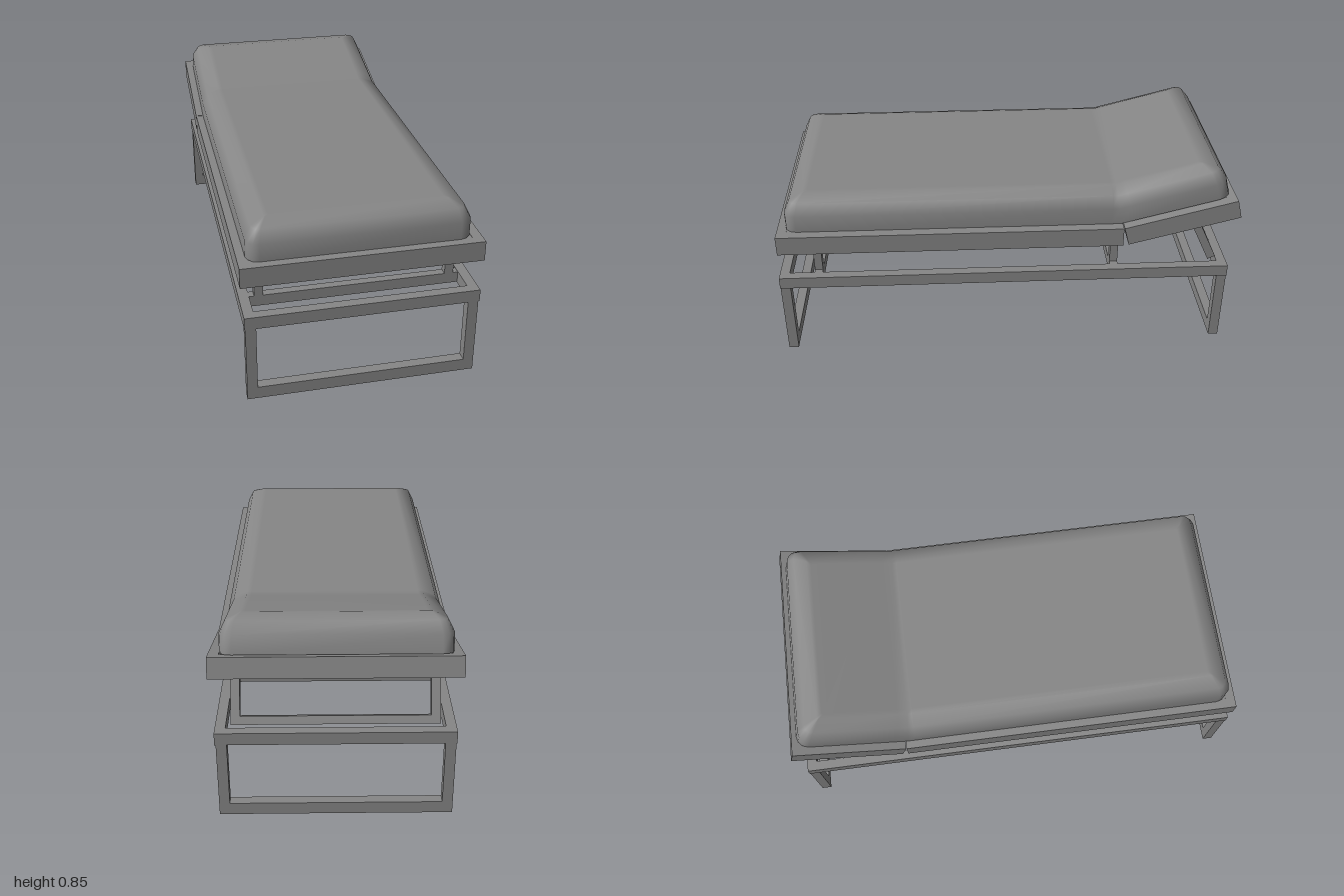
import * as THREE from 'three';

const material = new THREE.MeshStandardMaterial({ color: 0x868686 });
const TILT = 0.253; // backrest angle

// Box given by its min and max on each axis
function box(parent, name, [x0, x1], [y0, y1], [z0, z1]) {
  const mesh = new THREE.Mesh(new THREE.BoxGeometry(x1 - x0, y1 - y0, z1 - z0), material);
  mesh.position.set((x0 + x1) / 2, (y0 + y1) / 2, (z0 + z1) / 2);
  mesh.name = name;
  parent.add(mesh);
  return mesh;
}

function group(parent, name) {
  const g = new THREE.Group();
  g.name = name;
  parent.add(g);
  return g;
}

// Horizontal rectangular frame: two long rails with end rails between them
function flatFrame(parent, name, hx, y, [z0, z1], t) {
  const g = group(parent, name);
  for (const s of [-1, 1]) {
    const inner = s * (hx - t), outer = s * hx;
    box(g, 'sideRail', [Math.min(inner, outer), Math.max(inner, outer)], y, [z0, z1]);
  }
  box(g, 'endRail', [-hx + t, hx - t], y, [z0, z0 + t]);
  box(g, 'endRail', [-hx + t, hx - t], y, [z1 - t, z1]);
  return g;
}

// Cushion: stacked rounded outlines, bent upward behind the fold
function cushionGeometry() {
  const base = 0.607, fold = -0.49, front = 0.955, back = -0.972, seg = 3;
  const rings = [[0, 0], [0, 0.075], [0.025, 0.127], [0.08, 0.15], [0.1, 0.15]]; // inset, height
  const positions = [], index = [];
  let count = 0;
  for (const [inset, h] of rings) {
    const hx = 0.45 - inset, zf = front - inset, zb = back + inset;
    const r = Math.max(0.05 - inset * 0.6, 0.006);
    const right = [];
    for (let i = 0; i <= seg; i++) {
      const a = (1 - i / seg) * Math.PI / 2;
      right.push([hx - r + r * Math.cos(a), zf - r + r * Math.sin(a)]);
    }
    // Extra rows beside the fold keep its crease tight
    for (const d of [0.04, 0, -0.06]) right.push([hx, fold + d]);
    for (let i = 0; i <= seg; i++) {
      const a = -(i / seg) * Math.PI / 2;
      right.push([hx - r + r * Math.cos(a), zb + r + r * Math.sin(a)]);
    }
    const outline = [...right, ...right.map(([x, z]) => [-x, z]).reverse()];
    count = outline.length;
    for (const [x, z] of outline) {
      const d = z - fold;
      const angle = d > 0 ? 0 : d === 0 ? TILT / 2 : TILT;
      const c = Math.cos(angle), s = Math.sin(angle);
      positions.push(x, base + h * c - d * s, fold + d * c + h * s);
    }
  }
  const quad = (a, b, c, d) => index.push(a, b, c, a, c, d);
  for (let k = 0; k < rings.length - 1; k++) {
    for (let j = 0; j < count; j++) {
      const n = (j + 1) % count, lo = k * count, hi = lo + count;
      quad(lo + j, lo + n, hi + n, hi + j);
    }
  }
  // Top: strips joining the right side to the left
  const top = (rings.length - 1) * count;
  for (let j = 0; j < count / 2 - 1; j++) {
    quad(top + j, top + j + 1, top + count - 2 - j, top + count - 1 - j);
  }
  const geometry = new THREE.BufferGeometry();
  geometry.setAttribute('position', new THREE.Float32BufferAttribute(positions, 3));
  geometry.setIndex(index);
  geometry.computeVertexNormals();
  return geometry;
}

export function createModel() {
  const model = new THREE.Group();
  model.name = 'sunLounger';

  // Base frame with cross bars carrying the posts
  const base = flatFrame(model, 'baseFrame', 0.478, [0.336, 0.389], [-0.975, 1], 0.042);
  for (const z of [[0.815, 0.85], [-0.49, -0.455]]) {
    box(base, 'crossBar', [-0.436, 0.436], [0.34, 0.387], z);
    for (const x of [[-0.415, -0.378], [0.378, 0.415]]) box(model, 'post', x, [0.387, 0.592], z);
  }

  // Open leg frames at both ends
  for (const z of [[0.956, 0.999], [-0.974, -0.931]]) {
    const legs = group(model, 'legFrame');
    for (const x of [[-0.475, -0.432], [0.43, 0.473]]) box(legs, 'leg', x, [0, 0.336], z);
    box(legs, 'footBar', [-0.432, 0.43], [0, 0.053], z);
  }

  // Bed frame
  const bed = flatFrame(model, 'bedFrame', 0.488, [0.52, 0.606], [-0.498, 0.99], 0.042);
  box(bed, 'bedDeck', [-0.446, 0.446], [0.59, 0.604], [-0.456, 0.948]);

  // Backrest frame, hinged at the end of the bed
  const backrest = flatFrame(model, 'backrestFrame', 0.488, [-0.085, 0], [-0.494, 0], 0.042);
  box(backrest, 'backrestDeck', [-0.446, 0.446], [-0.017, -0.002], [-0.452, -0.042]);
  backrest.position.set(0, 0.607, -0.5);
  backrest.rotation.x = TILT;

  // Leaning support under the backrest
  const support = group(model, 'backrestSupport');
  for (const x of [[-0.415, -0.378], [0.378, 0.415]]) box(support, 'strut', x, [0, 0.305], [-0.018, 0.018]);
  box(support, 'strutBar', [-0.378, 0.378], [0, 0.034], [-0.018, 0.018]);
  support.position.set(0, 0.393, -0.914);
  support.rotation.x = Math.atan2(0.1, 0.21);

  // Cushion
  const cushion = new THREE.Mesh(cushionGeometry(), material);
  cushion.name = 'cushion';
  cushion.position.x = -0.004;
  model.add(cushion);

  return model;
}
